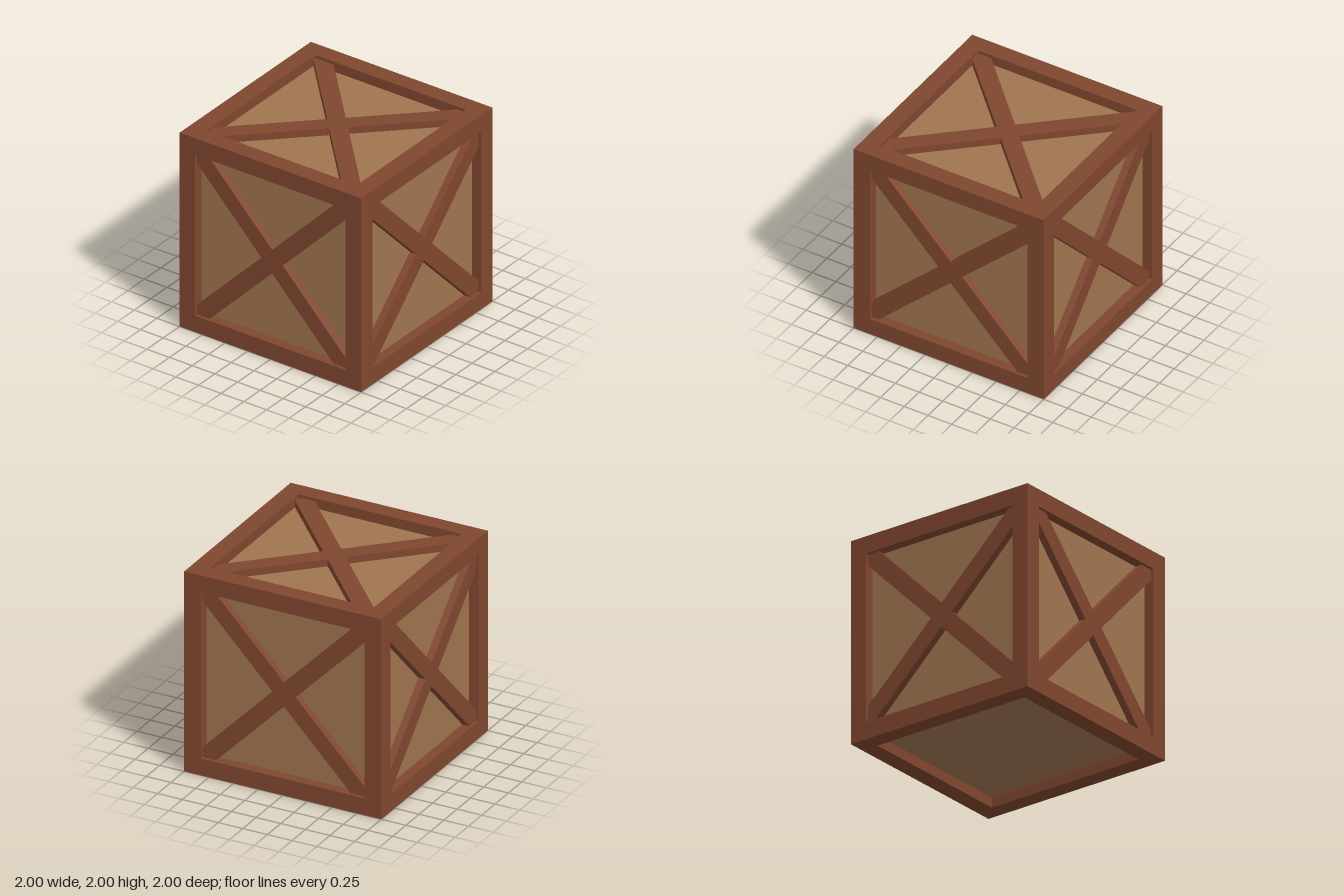
import * as THREE from 'three';

const frameMat = new THREE.MeshStandardMaterial({ color: 0x80472f, flatShading: true });
const panelMat = new THREE.MeshStandardMaterial({ color: 0xa07550, flatShading: true });

const BEAM = 0.17;              // width of the frame beams
const INNER = 2 - 2 * BEAM;     // opening between beams
const MID = 1 - BEAM / 2;       // beam centre line
const PANEL = 0.9;              // half size of the recessed panel box
const BRACE_TOP = 0.97;         // outer surface of the braces
const BRACE_LENGTH = 2.32;

function box(name, w, h, d, material, x = 0, y = 0, z = 0) {
  const mesh = new THREE.Mesh(new THREE.BoxGeometry(w, h, d), material);
  mesh.name = name;
  mesh.position.set(x, y, z);
  return mesh;
}

// Two crossed boards on the +z face; each board is [angle in degrees, vertical offset]
function crossBrace(name, boards) {
  const group = new THREE.Group();
  group.name = name;
  const depth = BRACE_TOP - PANEL + 0.02;
  for (const [angle, offset] of boards) {
    const board = box('braceBoard', BRACE_LENGTH, 0.168, depth, frameMat, 0, offset, BRACE_TOP - depth / 2);
    board.rotation.z = THREE.MathUtils.degToRad(angle);
    group.add(board);
  }
  return group;
}

export function createModel() {
  const model = new THREE.Group();
  model.name = 'crate';
  const body = new THREE.Group();
  body.name = 'crateBody';
  body.position.y = 1;
  model.add(body);

  // Recessed panels
  body.add(box('panels', 2 * PANEL, 2 * PANEL, 2 * PANEL, panelMat));

  // Frame: corner posts and the beams between them
  for (const a of [-MID, MID]) {
    for (const b of [-MID, MID]) {
      body.add(box('cornerPost', BEAM, 2, BEAM, frameMat, a, 0, b));
      body.add(box('crossBeam', INNER, BEAM, BEAM, frameMat, 0, a, b));
      body.add(box('sideBeam', BEAM, BEAM, INNER, frameMat, a, b, 0));
    }
  }

  // Cross braces on the four sides and the top; the base stays plain
  const frontBoards = [[-46, -0.01], [45.6, -0.003]];
  const sideBoards = [[-45.3, 0.002], [43.2, -0.002]];
  const topBoards = [[-47.6, 0.02], [44.2, -0.005]];
  const faces = [
    ['frontBrace', frontBoards, 0, 0],
    ['leftBrace', sideBoards, 0, Math.PI / 2],
    ['backBrace', frontBoards, 0, Math.PI],
    ['rightBrace', sideBoards, 0, -Math.PI / 2],
    ['topBrace', topBoards, -Math.PI / 2, 0],
  ];
  for (const [name, boards, rx, ry] of faces) {
    const brace = crossBrace(name, boards);
    brace.rotation.set(rx, ry, 0);
    body.add(brace);
  }
  return model;
}
